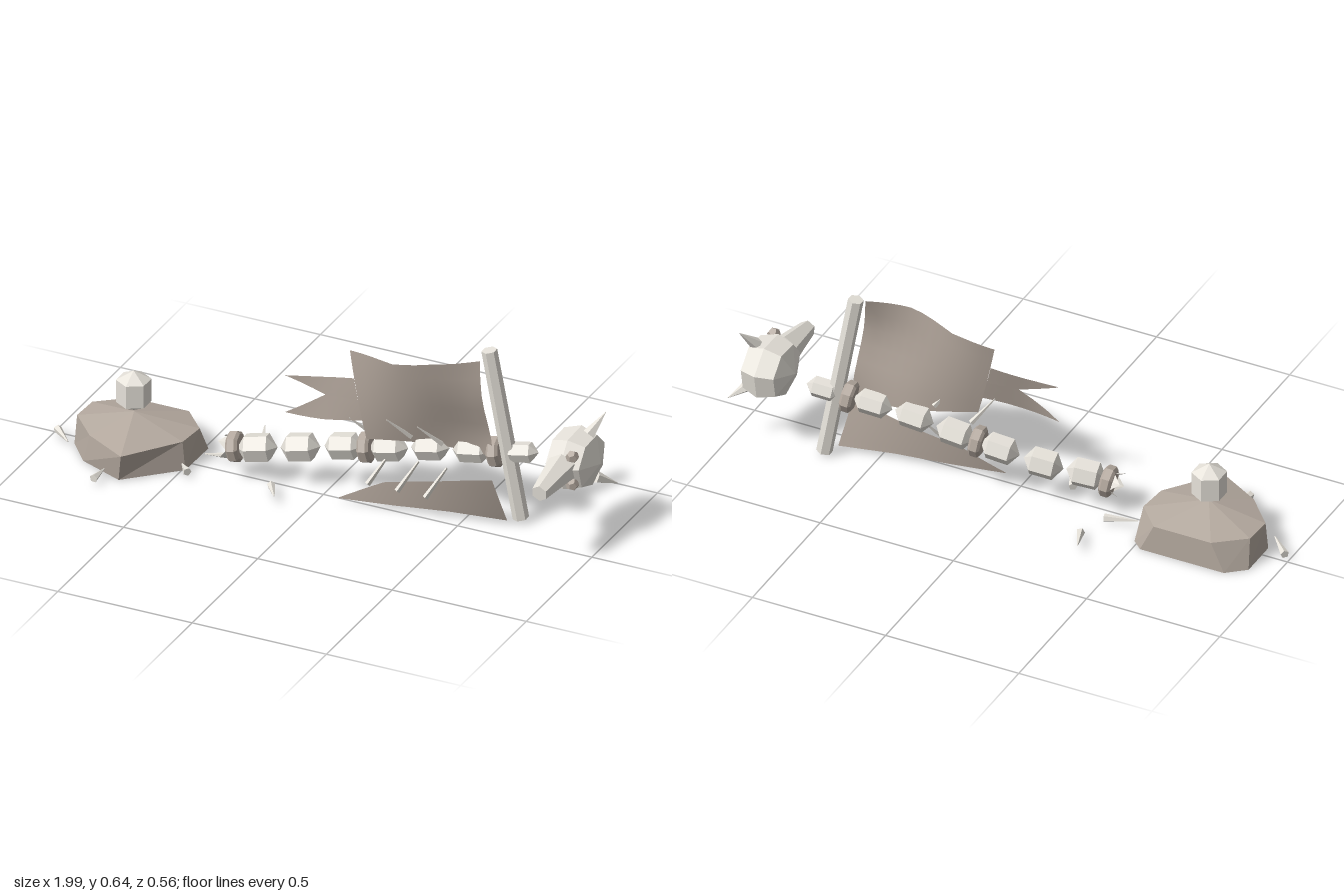
import * as THREE from 'three';

const mat = (name, color, flat = true, side = THREE.FrontSide) => {
  const m = new THREE.MeshStandardMaterial({ color, flatShading: flat, side });
  m.name = name;
  return m;
};
const V = (a) => new THREE.Vector3(...a);
const UP = new THREE.Vector3(0, 1, 0);

export function createModel() {
  const model = new THREE.Group();
  const bone = mat('bone', 0xe6e2da, true, THREE.DoubleSide);
  const stone = mat('stone', 0xb4a99f);
  const cloth = mat('cloth', 0xaca096, false, THREE.DoubleSide);

  const add = (name, geo, material, pos = [0, 0, 0], dir = null) => {
    const m = new THREE.Mesh(geo, material);
    m.name = name;
    m.position.set(...pos);
    if (dir) m.quaternion.setFromUnitVectors(UP, dir.clone().normalize());
    model.add(m);
    return m;
  };
  // Tapered rod from a to b
  const rod = (name, a, b, ra, rb, sides) => {
    const d = V(b).sub(V(a));
    const mid = V(a).addScaledVector(d, 0.5).toArray();
    return add(name, new THREE.CylinderGeometry(rb, ra, d.length(), sides), bone, mid, d);
  };
  const lathe = (pts, sides) => new THREE.LatheGeometry(pts.map((p) => new THREE.Vector2(...p)), sides);
  const beadGeo = (r, h) => lathe([[0, -h], [r, -h * 0.56], [r, h * 0.56], [0, h]], 6);

  // Rock: uneven top and bottom rings joined by triangles, with a low peak
  const top = [[-0.9, 0.035], [-0.895, -0.07], [-0.79, -0.153], [-0.575, -0.153],
    [-0.49, -0.06], [-0.5, 0.05], [-0.64, 0.235], [-0.8, 0.145]];
  const bottom = [[-0.905, 0.045], [-0.905, -0.1], [-0.84, -0.155], [-0.525, -0.155],
    [-0.487, -0.12], [-0.49, 0.05], [-0.66, 0.21], [-0.825, 0.142]];
  const rock = [];
  top.forEach((_, i) => {
    const j = (i + 1) % top.length;
    const t = (k) => [top[k][0], 0.105, top[k][1]];
    const b = (k) => [bottom[k][0], 0, bottom[k][1]];
    rock.push(-0.7, 0.155, 0.01, ...t(j), ...t(i));
    rock.push(...b(j), ...b(i), ...t(i), ...b(j), ...t(i), ...t(j));
    rock.push(-0.7, 0, 0.01, ...b(i), ...b(j));
  });
  const rockGeo = new THREE.BufferGeometry();
  rockGeo.setAttribute('position', new THREE.Float32BufferAttribute(rock, 3));
  rockGeo.computeVertexNormals();
  add('rock', rockGeo, stone);
  add('rockFinial', beadGeo(0.06, 0.075), bone, [-0.705, 0.23, 0.003]);

  // Spine of separate vertebrae
  const spine = [[-0.243, 0.123, 0.005, 0.05], [-0.1, 0.142, -0.03, 0.05], [0.05, 0.17, -0.055, 0.047],
    [0.21, 0.193, -0.07, 0.046], [0.357, 0.223, -0.085, 0.044], [0.505, 0.24, -0.1, 0.042], [0.676, 0.262, -0.125, 0.036]];
  const path = new THREE.CatmullRomCurve3(spine.map((p) => V(p)));
  spine.forEach((p, i) => {
    const dir = path.getTangent(i / (spine.length - 1));
    add('vertebra', beadGeo(p[3], i === 6 ? 0.062 : 0.07), bone, p.slice(0, 3), dir);
  });

  // Bindings around the spine
  const ringDir = V([1, 0.15, -0.13]);
  const ringGeo = lathe([[0, -0.021], [0.045, -0.021], [0.055, -0.012], [0.055, 0.012], [0.045, 0.021], [0, 0.021]], 8);
  [[-0.322, 0.112, 0.012], [0.13, 0.18, -0.063], [0.588, 0.25, -0.112]].forEach((p) => {
    add('binding', ringGeo, stone, p, ringDir);
  });

  // Splintered end of the spine
  const splinter = new THREE.CylinderGeometry(0.03, 0.042, 0.05, 8, 1, true);
  const sp = splinter.attributes.position;
  for (let i = 0; i < sp.count; i++) {
    if (sp.getY(i) < 0 && i % 2) sp.setY(i, 0.005);
  }
  splinter.computeVertexNormals();
  add('splinteredEnd', splinter, bone, [-0.345, 0.108, 0.015], ringDir);

  // Ribs above and below the spine
  [[0.16, 0.24], [0.3, 0.265], [0.415, 0.265]].forEach(([x, y], i) => {
    rod('upperRib', [x, y, -0.055], [x - 0.06, y + 0.08, 0.008], 0.01, 0.002, 4);
    const lx = [0.22, 0.33, 0.435][i];
    rod('lowerRib', [lx, 0.18, -0.05], [lx - 0.05, 0.085, 0.012], 0.004, 0.01, 4);
  });

  // Pole
  rod('pole', [0.675, 0.012, -0.124], [0.57, 0.638, -0.098], 0.028, 0.027, 6);

  // Cloth: a strip between two polylines, with its depth set by a rule
  const along = (pts, t) => {
    const s = Math.min(t * (pts.length - 1), pts.length - 1.0001);
    const i = Math.floor(s), f = s - i;
    return [0, 1].map((k) => pts[i][k] + (pts[i + 1][k] - pts[i][k]) * f);
  };
  const sheet = (name, upper, lower, depth, nu = 12, nv = 6) => {
    const g = new THREE.PlaneGeometry(1, 1, nu, nv);
    const pos = g.attributes.position;
    for (let i = 0; i < pos.count; i++) {
      const u = pos.getX(i) + 0.5, v = pos.getY(i) + 0.5;
      const a = along(upper, u), b = along(lower, u);
      const x = b[0] + (a[0] - b[0]) * v, y = b[1] + (a[1] - b[1]) * v;
      pos.setXYZ(i, x, y, depth(x, y));
    }
    g.computeVertexNormals();
    add(name, g, cloth);
  };
  const flagZ = (x, y) => -0.06 + 0.11 * (0.56 - x)
    + 0.045 * Math.sin((0.56 - x) * 9) * (y - 0.4) / 0.2
    + 0.02 * Math.sin((0.61 - y) * 14) * Math.max(0, (x - 0.3) / 0.27);
  sheet('banner', [[0.08, 0.55], [0.25, 0.548], [0.41, 0.594], [0.555, 0.612]],
    [[0.16, 0.25], [0.3, 0.245], [0.44, 0.24], [0.595, 0.25]], flagZ);
  sheet('bannerTail', [[-0.135, 0.43], [-0.02, 0.442], [0.104, 0.457]],
    [[-0.135, 0.43], [0.01, 0.385], [0.124, 0.384]], flagZ, 6, 3);
  sheet('bannerTail', [[-0.135, 0.29], [0.01, 0.385], [0.124, 0.386]],
    [[-0.135, 0.29], [0.01, 0.3], [0.143, 0.315]], flagZ, 6, 3);
  sheet('lowerBanner', [[0.07, 0.018], [0.22, 0.095], [0.41, 0.135], [0.615, 0.187]],
    [[0.07, 0.015], [0.26, 0.015], [0.45, 0.02], [0.645, 0.015]],
    (x, y) => -0.085 + 0.2 * (0.64 - x) + 0.9 * y * (x - 0.3));

  // Skull, lying on its side
  const skull = lathe([[0, -1], [0.82, -0.65], [1, 0], [0.82, 0.65], [0, 1]], 7);
  skull.rotateZ(-Math.PI / 2).rotateX(-0.17).scale(0.094, 0.11, 0.125);
  add('skull', skull, bone, [0.878, 0.288, -0.124]);
  rod('snout', [0.875, 0.297, -0.03], [0.875, 0.283, 0.145], 0.054, 0.029, 6);
  rod('horn', [0.92, 0.378, -0.143], [0.955, 0.445, -0.2], 0.023, 0.001, 5);
  rod('horn', [0.94, 0.215, -0.155], [0.995, 0.178, -0.21], 0.023, 0.001, 5);
  [0.35, 0.245].forEach((y) => {
    add('eye', new THREE.DodecahedronGeometry(0.023), stone, [0.915, y, -0.025]);
  });

  // Bone shards on the ground: base, tip
  [[[-0.315, 0.02, -0.18], [-0.355, 0.04, -0.28]],
    [[-0.35, 0.025, -0.075], [-0.46, 0.025, -0.04]],
    [[-0.46, 0.022, 0.095], [-0.5, 0.025, 0.055]],
    [[-0.17, 0.02, 0.05], [-0.115, 0.034, 0.14]],
    [[-0.722, 0.022, 0.275], [-0.718, 0.025, 0.2]],
    [[-0.985, 0.02, 0.01], [-0.91, 0.025, 0.085]],
  ].forEach(([a, b]) => rod('shard', a, b, 0.015, 0.002, 5));

  return model;
}
